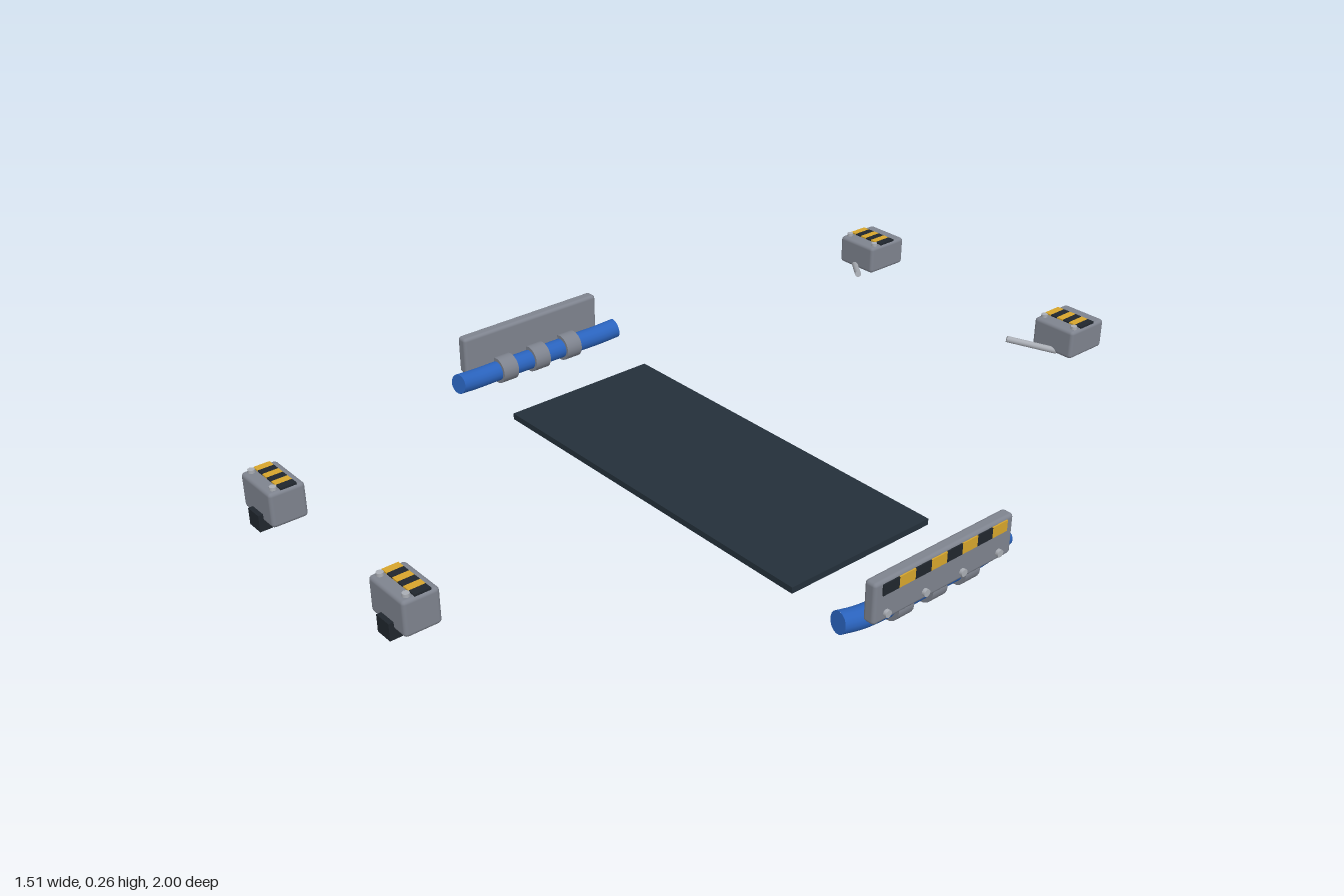
import * as THREE from 'three';
import { RoundedBoxGeometry } from 'three/addons/geometries/RoundedBoxGeometry.js';

const mat = (name, color) => {
  const m = new THREE.MeshStandardMaterial({ color });
  m.name = name;
  return m;
};

export function createModel() {
  const grey = mat('grey metal', 0x7e838e);
  const silver = mat('light steel', 0xa9adb4);
  const slate = mat('slate', 0x24303a);
  const black = mat('black', 0x20262d);
  const yellow = mat('warning yellow', 0xd6a52c);
  const blue = mat('blue tube', 0x2a63bd);

  const model = new THREE.Group();
  const add = (parent, name, geo, material, x, y, z) => {
    const m = new THREE.Mesh(geo, material);
    m.name = name;
    m.position.set(x, y, z);
    parent.add(m);
    return m;
  };
  const box = (w, h, d) => new THREE.BoxGeometry(w, h, d);
  const rbox = (w, h, d, r) => new RoundedBoxGeometry(w, h, d, 2, r);
  const group = (name) => {
    const g = new THREE.Group();
    g.name = name;
    model.add(g);
    return g;
  };

  // Flat centre plate
  add(model, 'basePlate', box(1.02, 0.016, 0.425), slate, 0, 0.01, -0.053);

  // Side bumpers: upright panel with a clamped tube along its foot
  for (const s of [-1, 1]) {
    const g = group(s > 0 ? 'leftBumper' : 'rightBumper');
    const zc = -0.053;
    add(g, 'panel', rbox(0.032, 0.102, 0.425, 0.009), grey, s * 0.732, 0.095, zc);

    // Tube with ends bent inward and slightly up
    const pts = [[0.69, 0.044, -0.255], [0.698, 0.037, -0.2], [0.702, 0.035, -0.13], [0.702, 0.035, 0],
      [0.702, 0.035, 0.13], [0.698, 0.037, 0.2], [0.69, 0.044, 0.255]]
      .map(([x, y, z]) => new THREE.Vector3(s * x, y, z + zc));
    const path = new THREE.CatmullRomCurve3(pts);
    add(g, 'tube', new THREE.TubeGeometry(path, 32, 0.026, 16, false), blue, 0, 0, 0);
    for (const e of [0, 1]) {
      const p = path.getPoint(e);
      const out = path.getTangent(e).multiplyScalar(e ? 1 : -1);
      const cap = add(g, 'tubeEnd', new THREE.CircleGeometry(0.026, 16), blue, p.x, p.y, p.z);
      cap.quaternion.setFromUnitVectors(new THREE.Vector3(0, 0, 1), out);
    }

    // Clamps
    for (const i of [-1, 0, 1]) {
      const clamp = new THREE.CylinderGeometry(0.035, 0.035, 0.046, 20).rotateX(Math.PI / 2);
      add(g, 'clamp', clamp, grey, s * 0.704, 0.035, zc + i * 0.103);
    }

    // Bolts and warning stripes on the outer face
    for (let i = 0; i < 4; i++) {
      const bolt = new THREE.CylinderGeometry(0.009, 0.009, 0.01, 12).rotateZ(Math.PI / 2);
      add(g, 'bolt', bolt, silver, s * 0.751, 0.064, 0.123 - i * 0.115);
    }
    for (let i = 0; i < 8; i++) {
      add(g, 'stripe', box(0.004, 0.027, 0.0475), i % 2 ? yellow : black, s * 0.749, 0.125, 0.114 - i * 0.0475);
    }
  }

  // Striped lid with two bolts, shared by all the small boxes
  const lid = (g, x, top, z, width, depth, boltZ) => {
    const w = width / 6;
    for (let i = 0; i < 6; i++) {
      add(g, 'stripe', box(w, 0.005, depth), i % 2 ? black : yellow, x + (i - 2.5) * w, top + 0.001, z);
    }
    for (const e of [-1, 1]) {
      add(g, 'bolt', new THREE.CylinderGeometry(0.008, 0.008, 0.009, 12), silver, x + e * 0.046, top + 0.003, boltZ);
    }
  };

  for (const s of [-1, 1]) {
    const side = s > 0 ? 'left' : 'right';

    // Front boxes on dark jaws
    const f = group(side + 'FrontUnit');
    const fx = s * 0.255;
    add(f, 'body', rbox(0.125, 0.084, 0.085, 0.009), grey, fx, 0.209, 0.946);
    add(f, 'jawBridge', box(0.044, 0.016, 0.09), black, fx, 0.16, 0.946);
    for (const e of [-1, 1]) {
      add(f, 'jaw', box(0.044, 0.04, 0.03), black, fx, 0.166, 0.948 + e * 0.037);
    }
    lid(f, fx, 0.251, 0.94, 0.116, 0.038, 0.97);

    // Back boxes with a slanted lever
    const b = group(side + 'BackUnit');
    const bx = s * 0.341;
    add(b, 'body', rbox(0.12, 0.074, 0.122, 0.009), grey, bx, 0.214, -0.939);
    lid(b, bx, 0.251, -0.939, 0.112, 0.05, -0.899);
    const from = new THREE.Vector3(s * 0.352, 0.182, -0.886);
    const to = new THREE.Vector3(s * 0.259, 0.206, -0.804);
    const mid = from.clone().lerp(to, 0.5);
    const lever = add(b, 'lever', new THREE.CylinderGeometry(0.008, 0.008, from.distanceTo(to), 12), silver, mid.x, mid.y, mid.z);
    lever.quaternion.setFromUnitVectors(new THREE.Vector3(0, 1, 0), to.clone().sub(from).normalize());
  }

  return model;
}
